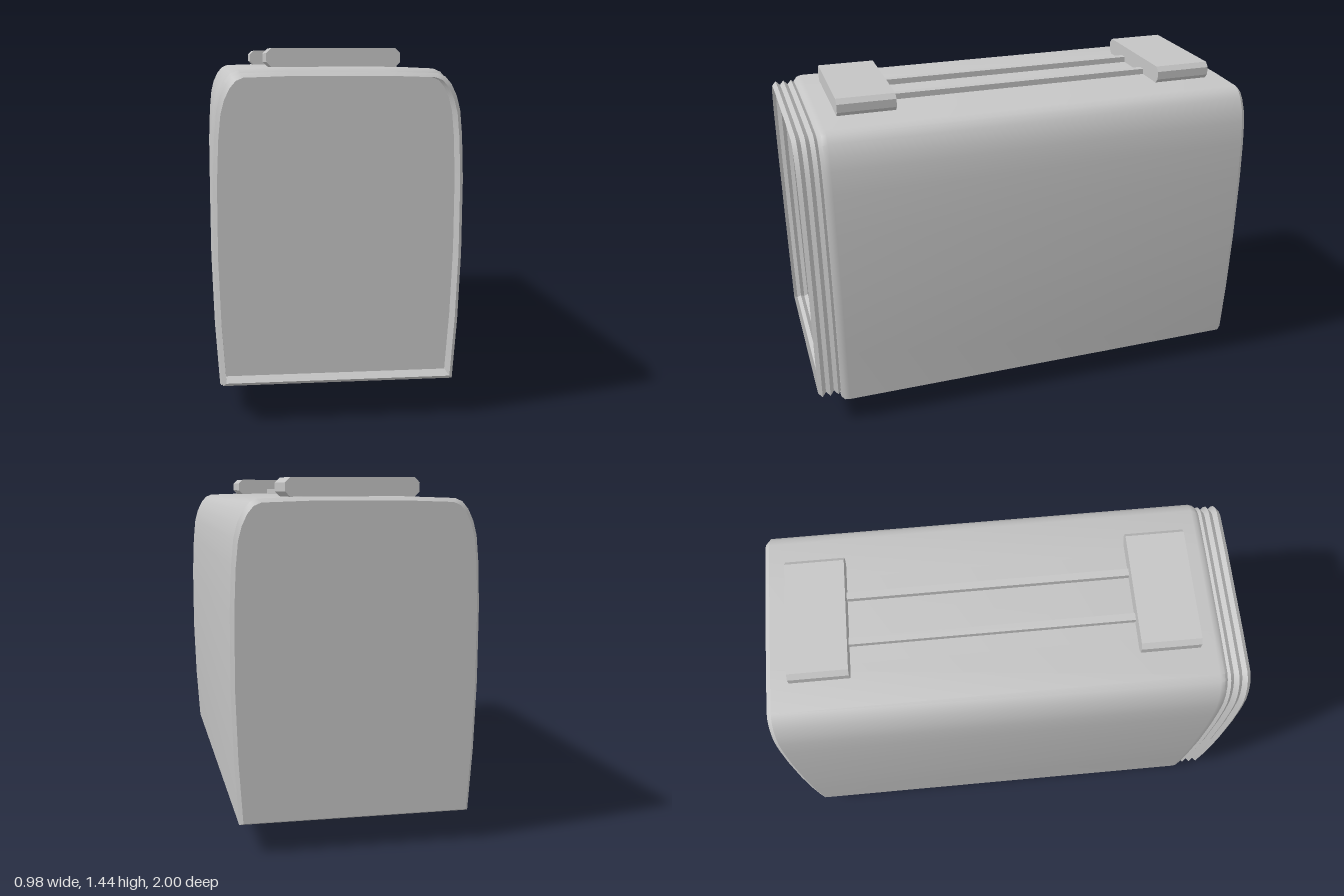
import * as THREE from 'three';
import { toCreasedNormals } from 'three/addons/utils/BufferGeometryUtils.js';

const grey = new THREE.MeshStandardMaterial({ color: 0xc4c4c4 });
grey.name = 'plain grey';
grey.side = THREE.DoubleSide;

// Right half of the carriage section, in units of half width and height
const half = [
  [0.945, 0], [0.98, 0.2], [1, 0.42], [1, 0.66], [0.985, 0.8], [0.965, 0.88],
  [0.935, 0.925], [0.89, 0.962], [0.84, 0.985], [0.78, 0.995], [0.4, 1],
];
const section = [...half, ...half.map(([u, v]) => [-u, v]).reverse()];

// Skins rings given as [z, half width, bottom, top], back to front
function loft(rings, capped) {
  const pos = [];
  const pts = rings.map(([z, w, y0, y1]) =>
    section.map(([u, v]) => [u * w, y0 + v * (y1 - y0), z]));
  const tri = (a, b, c) => pos.push(...a, ...b, ...c);
  const n = section.length;
  for (let i = 0; i < pts.length - 1; i++) {
    for (let j = 0; j < n; j++) {
      const k = (j + 1) % n;
      tri(pts[i][j], pts[i][k], pts[i + 1][k]);
      tri(pts[i][j], pts[i + 1][k], pts[i + 1][j]);
    }
  }
  if (capped) {
    const first = pts[0], last = pts[pts.length - 1];
    for (let j = 1; j < n - 1; j++) {
      tri(first[0], first[j + 1], first[j]);
      tri(last[0], last[j], last[j + 1]);
    }
  }
  const g = new THREE.BufferGeometry();
  g.setAttribute('position', new THREE.Float32BufferAttribute(pos, 3));
  return toCreasedNormals(g, 0.6);
}

export function createModel() {
  const group = new THREE.Group();
  const add = (name, geometry, x = 0, y = 0, z = 0) => {
    const m = new THREE.Mesh(geometry, grey);
    m.name = name;
    m.position.set(x, y, z);
    group.add(m);
    return m;
  };

  // Carriage shell with softened ends
  add('body', loft([
    [-1, 0.475, 0.13, 1.36], [-0.98, 0.49, 0.12, 1.375],
    [0.865, 0.49, 0.12, 1.375], [0.885, 0.485, 0.12, 1.37], [0.9, 0.472, 0.13, 1.355],
  ], true));

  // Open gangway bellows with three folds
  const folds = [];
  for (let i = 0; i <= 6; i++) {
    const out = i % 2 ? 0.015 : 0;
    folds.push([0.895 + i * 0.0175, 0.465 + out, 0.165 - out, 1.343 + out]);
  }
  add('bellows', loft(folds, false));

  // Chamfered roof units
  const s = new THREE.Shape([
    [-0.265, 0.02], [-0.245, 0], [0.245, 0], [0.265, 0.02],
    [0.265, 0.055], [0.245, 0.075], [-0.245, 0.075], [-0.265, 0.055],
  ].map(([x, y]) => new THREE.Vector2(x, y)));
  const unit = new THREE.ExtrudeGeometry(s, { depth: 0.25, bevelEnabled: false });
  add('frontRoofUnit', unit, 0, 1.373, 0.547);
  add('rearRoofUnit', unit, 0, 1.373, -0.9);

  // Roof conduits between the units
  for (const x of [-0.105, 0.1]) {
    add('roofConduit', new THREE.BoxGeometry(0.032, 0.035, 1.2), x, 1.3825, -0.052);
  }

  // Dished wheels with an inner flange, on thin axles
  const wheel = toCreasedNormals(new THREE.LatheGeometry([
    [0, -0.028], [0.085, -0.028], [0.125, -0.016], [0.125, -0.01],
    [0.112, -0.004], [0.105, 0.024], [0.085, 0.026], [0.07, 0.012], [0, 0.012],
  ].map(([r, y]) => new THREE.Vector2(r, y)), 14), 0.6);
  for (const z of [0.32, -0.42]) {
    for (const side of [-1, 1]) {
      add('wheel', wheel, side * 0.311, 0.127, z).rotation.z = -side * Math.PI / 2;
    }
    add('axle', new THREE.CylinderGeometry(0.013, 0.013, 0.74, 8), 0, 0.122, z)
      .rotation.z = Math.PI / 2;
  }
  return group;
}
